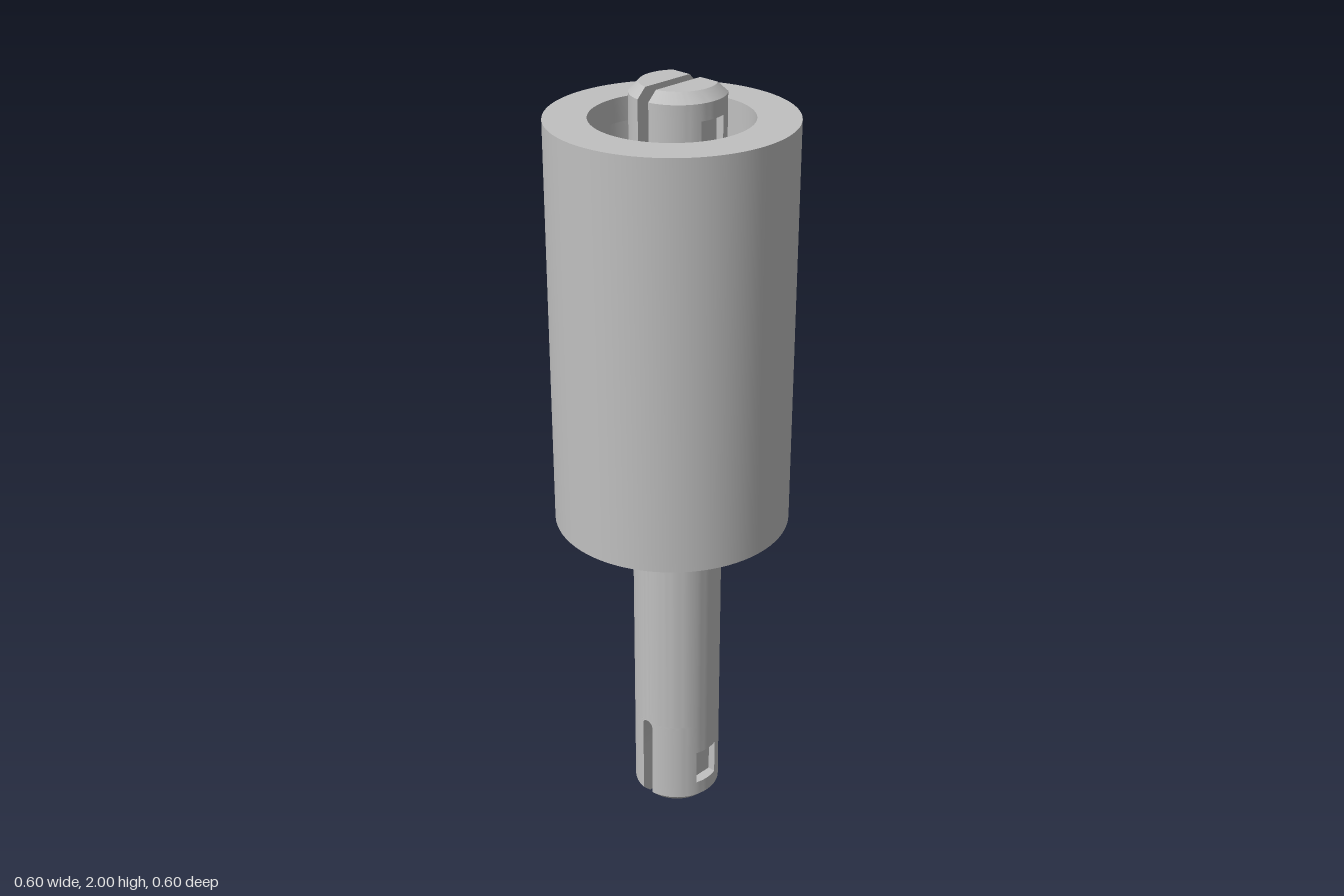
import * as THREE from 'three';
import { toCreasedNormals } from 'three/addons/utils/BufferGeometryUtils.js';

const R = 0.115, ZC = -0.02, FLAT = -0.1;      // D-shaped pin section
const SLOT = 0.017, SLOT_END = 0.26;           // half width and depth of the end slots
const CHAMFER = 0.024;
const POCKET_HALF = 0.036, POCKET_X = 0.088;   // side pockets

// Rows along the lower half of the pin: height, chamfer inset, slot half width, pocket depth flag
function lowerRows() {
  const rows = [
    { y: 0, inset: CHAMFER, w: SLOT, pocket: false },
    { y: CHAMFER, inset: 0, w: SLOT, pocket: false },
    { y: 0.065, inset: 0, w: SLOT, pocket: false },
    { y: 0.065, inset: 0, w: SLOT, pocket: true },
    { y: 0.145, inset: 0, w: SLOT, pocket: true },
    { y: 0.165, inset: 0, w: SLOT, pocket: false },
  ];
  // Rounded end of the slot
  for (let i = 0; i <= 8; i++) {
    const a = (i / 8) * Math.PI / 2;
    const w = i === 8 ? 0 : SLOT * Math.cos(a);
    rows.push({ y: SLOT_END - SLOT + SLOT * Math.sin(a), inset: 0, w, pocket: false });
  }
  return rows;
}

// Outline of one half of the D section, from the flat back round to the front
function halfSection({ y, inset, w, pocket }, side) {
  const r = R - inset, flat = FLAT + inset;
  const a0 = Math.asin((flat - ZC) / r), a1 = Math.acos(w / r);
  const p = Math.asin(POCKET_HALF / r);
  const pts = [[w, flat]];
  const arc = (from, to, n, sunk) => {
    for (let i = 0; i <= n; i++) {
      const a = from + (to - from) * i / n;
      pts.push([sunk ? POCKET_X : r * Math.cos(a), ZC + r * Math.sin(a)]);
    }
  };
  arc(a0, -p, 6, false);
  arc(-p, p, 6, pocket);
  arc(p, a1, 14, false);
  return pts.map(([x, z]) => new THREE.Vector3(side * x, y, z));
}

function pinGeometry() {
  const lower = lowerRows();
  const rows = [...lower, ...lower.map(r => ({ ...r, y: 2 - r.y })).reverse()];
  const pos = [];
  for (const side of [1, -1]) {
    const tri = (a, b, c) => {
      const order = side > 0 ? [a, b, c] : [a, c, b];
      const area = b.clone().sub(a).cross(c.clone().sub(a)).length();
      if (area > 1e-10) order.forEach(v => pos.push(v.x, v.y, v.z));
    };
    const rings = rows.map(r => halfSection(r, side));
    const n = rings[0].length;
    for (let j = 0; j < rings.length - 1; j++) {
      const A = rings[j], B = rings[j + 1];
      const joined = rows[j].w === 0 && rows[j + 1].w === 0;
      for (let i = 0; i < n; i++) {
        if (i === n - 1 && joined) continue;   // halves meet here, no wall needed
        const k = (i + 1) % n;
        tri(A[i], B[i], B[k]);
        tri(A[i], B[k], A[k]);
      }
    }
    // End faces
    const first = rings[0], last = rings[rings.length - 1];
    for (let i = 1; i < n - 1; i++) {
      tri(first[0], first[i], first[i + 1]);
      tri(last[0], last[i + 1], last[i]);
    }
  }
  const g = new THREE.BufferGeometry();
  g.setAttribute('position', new THREE.Float32BufferAttribute(pos, 3));
  return toCreasedNormals(g, 0.5);
}

// Hollow sleeve with a lip at each end of the bore
function sleeveGeometry() {
  const y0 = 0.875, y1 = 1.92, lip = 0.06, bore = 0.196, recess = 0.21;
  const profile = [
    [bore, y0], [0.3, y0], [0.3, y1], [bore, y1], [bore, y1 - lip],
    [recess, y1 - lip], [recess, y0 + lip], [bore, y0 + lip], [bore, y0],
  ].map(([x, y]) => new THREE.Vector2(x, y));
  return toCreasedNormals(new THREE.LatheGeometry(profile, 80), 0.5);
}

export function createModel() {
  const steel = new THREE.MeshStandardMaterial({ color: 0xc0c0c0 });
  steel.name = 'steelGrey';
  const model = new THREE.Group();
  model.name = 'sleeveAndPin';
  const add = (name, geometry) => {
    const mesh = new THREE.Mesh(geometry, steel);
    mesh.name = name;
    model.add(mesh);
  };
  add('slottedPin', pinGeometry());
  add('sleeve', sleeveGeometry());
  return model;
}
